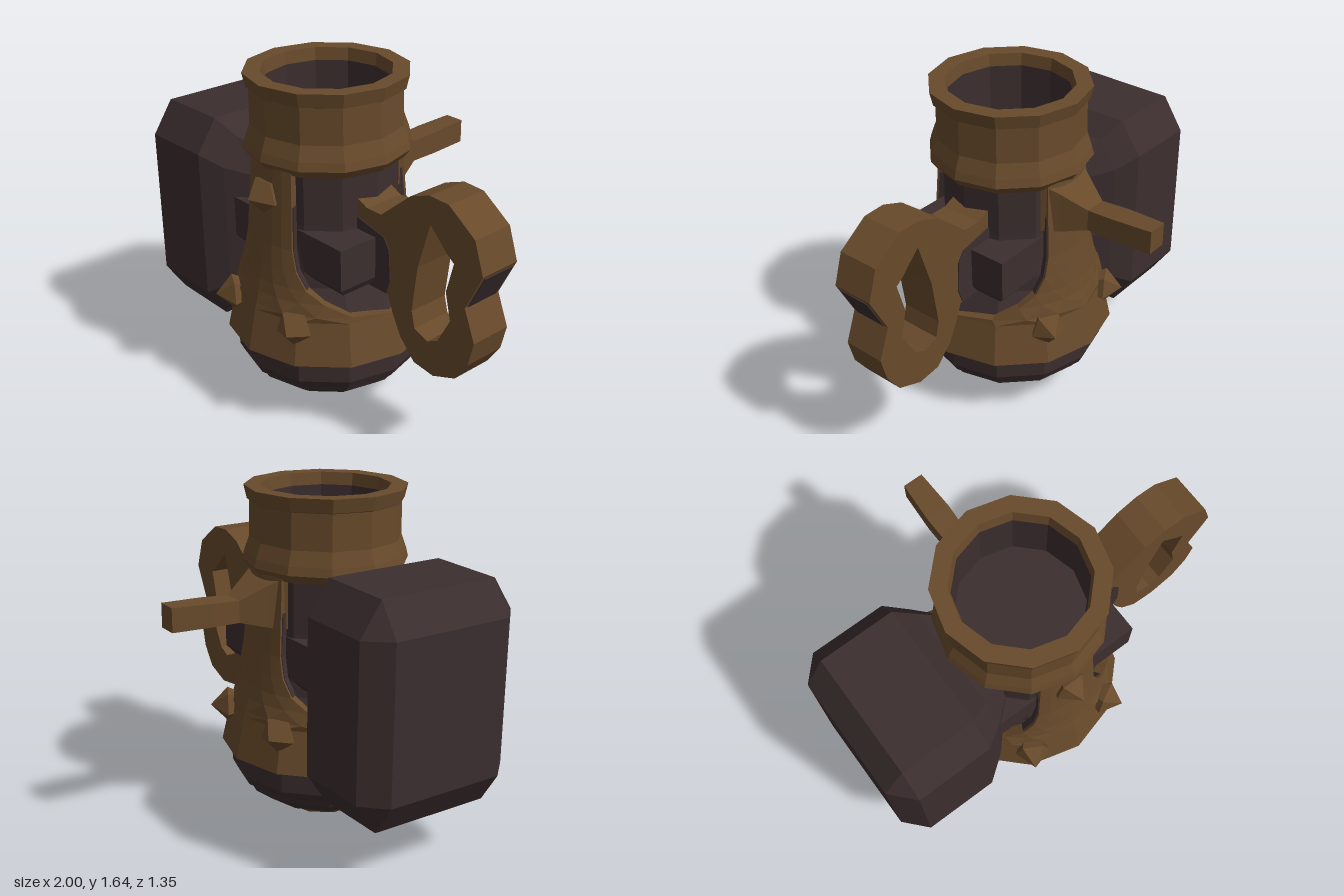
import * as THREE from 'three';

const CX = -0.06, CZ = 0.165; // axis of the vessel

// Skin a list of equal-length rings (even point count), capped at both ends
function loft(rings) {
  const n = rings[0].length, pos = rings.flat(2), idx = [];
  const last = (rings.length - 1) * n;
  const p = i => new THREE.Vector3().fromArray(pos, i * 3);
  // split each quad along its shorter diagonal
  const quad = (a, b, c, d) => {
    if (p(a).distanceTo(p(c)) <= p(b).distanceTo(p(d))) idx.push(a, b, c, a, c, d);
    else idx.push(a, b, d, b, c, d);
  };
  for (let i = 0; i < rings.length - 1; i++)
    for (let j = 0; j < n; j++) {
      const k = (j + 1) % n;
      quad(i * n + j, i * n + k, (i + 1) * n + k, (i + 1) * n + j);
    }
  for (let j = 0; j < n / 2 - 1; j++) {
    quad(n - 1 - j, n - 2 - j, j + 1, j);
    quad(last + j, last + j + 1, last + n - 2 - j, last + n - 1 - j);
  }
  // turn the surface outward if the signed volume is negative
  let volume = 0;
  for (let i = 0; i < idx.length; i += 3) volume += p(idx[i]).dot(p(idx[i + 1]).cross(p(idx[i + 2])));
  if (volume < 0) idx.reverse();
  const g = new THREE.BufferGeometry();
  g.setAttribute('position', new THREE.Float32BufferAttribute(pos, 3));
  g.setIndex(idx);
  g.computeVertexNormals();
  return g;
}

const lathe = (pts, sides) =>
  new THREE.LatheGeometry(pts.map(([r, y]) => new THREE.Vector2(r, y)), sides);

function extrude(points, hole, depth) {
  const s = new THREE.Shape(points.map(([x, y]) => new THREE.Vector2(x, y)));
  if (hole) s.holes.push(new THREE.Path(hole.map(([x, y]) => new THREE.Vector2(x, y))));
  return new THREE.ExtrudeGeometry(s, { depth, bevelEnabled: false });
}

export function createModel() {
  const model = new THREE.Group();
  const brass = new THREE.MeshStandardMaterial({ color: 0x684a2b, flatShading: true });
  brass.name = 'aged brass';
  const iron = new THREE.MeshStandardMaterial({ color: 0x3c2e2f, flatShading: true });
  iron.name = 'dark iron';

  const add = (name, geometry, material, x = 0, y = 0, z = 0) => {
    const m = new THREE.Mesh(geometry, material);
    m.name = name;
    m.position.set(x, y, z);
    model.add(m);
    return m;
  };

  // Inner vessel with stepped underside
  add('vessel', lathe([[0, 0.09], [0.31, 0.1], [0.395, 0.165], [0.41, 0.2], [0.435, 0.21],
    [0.455, 0.25], [0.46, 0.37], [0.43, 0.55], [0.36, 0.7], [0.335, 1.0], [0.335, 1.27],
    [0, 1.27]], 12), iron, CX, 0, CZ);
  add('foot', lathe([[0, 0], [0.12, 0], [0.2, 0.035], [0.25, 0.1], [0, 0.1]], 10), brass, CX, 0, CZ);

  // Collar with a flared lip, and its dark lining
  add('collar', lathe([[0.3, 1.25], [0.365, 1.25], [0.395, 1.29], [0.385, 1.33], [0.36, 1.4],
    [0.358, 1.57], [0.37, 1.575], [0.385, 1.64], [0.305, 1.64], [0.295, 1.57]], 12), brass, CX, 0, CZ);
  add('collarLining', lathe([[0.295, 1.58], [0.295, 1.3], [0, 1.3]], 12), iron, CX, 0, CZ);

  // Skirt that rises into a strap, front and back: [y, radius, half angle]
  const levels = [[0.365, 0.505, Math.PI / 2], [0.57, 0.46, Math.PI / 2], [0.6, 0.452, 1.08],
    [0.66, 0.435, 0.8], [0.72, 0.422, 0.6], [0.8, 0.41, 0.48], [0.9, 0.395, 0.42],
    [1.1, 0.379, 0.41], [1.27, 0.365, 0.4]];
  const polar = (r, a, y) => [r * Math.sin(a), y, r * Math.cos(a)];
  const skirt = loft(levels.map(([y, r, w]) => {
    const arc = (rad, dir) => Array.from({ length: 7 }, (_, i) => polar(rad, dir * w * (i / 3 - 1), y));
    return [...arc(r, 1), ...arc(r - 0.045, -1)];
  }));
  // Dark tarnish along the inner part of the strap edges
  const edgePlate = side => loft(levels.slice(4, 8).map(([y, r, w]) => {
    const a = side * (w - 0.005), b = side * (w + 0.01);
    return [polar(r - 0.045, a, y), polar(r - 0.012, a, y), polar(r - 0.012, b, y), polar(r - 0.045, b, y)];
  }));
  for (const [name, turn] of [['front', 0], ['back', Math.PI]]) {
    add(name + 'Skirt', skirt, brass, CX, 0, CZ).rotation.y = turn;
    for (const side of [-1, 1])
      add(name + 'StrapTarnish', edgePlate(side), iron, CX, 0, CZ).rotation.y = turn;
  }

  // Square band whose corners stand out between the straps
  add('squareBand', loft([[0.74, 0.39, 0.27], [0.78, 0.415, 0.305], [0.98, 0.415, 0.305]].map(
    ([y, a, b]) => [[-a, y, -b], [a, y, -b], [a, y, b], [-a, y, b]])), iron, -0.045, 0, CZ);

  // Large chamfered tank on the right side: [x, half height, half depth, corner fractions]
  const tank = [[-1, 0.37, 0.3, 1, 1], [-0.9, 0.525, 0.41, 0.7, 0.74], [-0.53, 0.53, 0.41, 0.7, 0.74],
    [-0.43, 0.45, 0.34, 0.7, 0.74], [-0.32, 0.4, 0.24, 0.7, 0.74]].map(([x, h, d, fh, fd]) => {
    const h2 = h * fh, d2 = d * fd;
    return [[h, -d2], [h, d2], [h2, d], [-h2, d], [-h, d2], [-h, -d2], [-h2, -d], [h2, -d]]
      .map(([y, z]) => [x, y, z]);
  });
  add('sideTank', loft(tank), iron, 0, 0.812, 0.16);

  // Loop handle on the left side
  const outer = [[0.24, 1.13], [0.31, 1.1], [0.4, 1.1], [0.58, 1.25], [0.69, 1.29],
    [0.8, 1.285], [0.95, 1.18], [1, 1.03], [0.91, 0.85], [0.97, 0.7], [0.94, 0.58], [0.87, 0.48],
    [0.74, 0.43], [0.62, 0.445], [0.53, 0.54], [0.48, 0.64], [0.45, 0.72], [0.24, 0.72]];
  const inner = [[0.63, 0.93], [0.6, 0.7], [0.62, 0.62], [0.7, 0.59], [0.76, 0.62], [0.83, 0.75],
    [0.8, 0.88], [0.84, 1.03], [0.8, 1.06], [0.7, 1.16]];
  add('handle', extrude(outer, inner, 0.21), brass, 0, 0, 0.05);

  // Dark plates on both faces of the handle root, and a worn patch in the grip's dent
  const rootPlate = extrude([[0.24, 0.725], [0.44, 0.725], [0.465, 0.8], [0.455, 0.95],
    [0.42, 1.0], [0.24, 1.04]], null, 0.006);
  for (const z of [0.045, 0.259]) add('handleRootPlate', rootPlate, iron, 0, 0, z);
  add('handleWornPatch', extrude([[0.908, 0.852], [0.914, 0.849], [0.998, 1.013], [0.992, 1.016]], null, 0.17),
    iron, 0, 0, 0.07);

  // Faceted studs around the skirt and at the top of the front strap
  const studShape = lathe([[0, -0.06], [0.06, -0.06], [0.088, 0], [0, 0.085]], 5);
  studShape.rotateX(Math.PI / 2);
  const stud = (name, angle, r, y) => {
    add(name, studShape, brass, CX + r * Math.sin(angle), y, CZ + r * Math.cos(angle)).rotation.y = angle;
  };
  for (const s of [-1, 1]) {
    stud('frontStud', s * 0.5, 0.475, 0.55);
    stud('backStud', Math.PI - s * 0.5, 0.475, 0.55);
  }
  stud('strapStud', 0, 0.385, 1.13);

  // Lever at the back, flaring where it meets the strap: [z, bottom, top, half width]
  add('backLever', loft([[-0.14, 1.02, 1.27, 0.15], [-0.22, 1.03, 1.23, 0.11], [-0.34, 1.06, 1.165, 0.055],
    [-0.48, 1.065, 1.175, 0.06], [-0.68, 1.07, 1.185, 0.05]].map(([z, lo, hi, w]) =>
    [[-w, lo, z], [w, lo, z], [w, hi, z], [-w, hi, z]])), brass, -0.055, 0, 0);

  return model;
}
